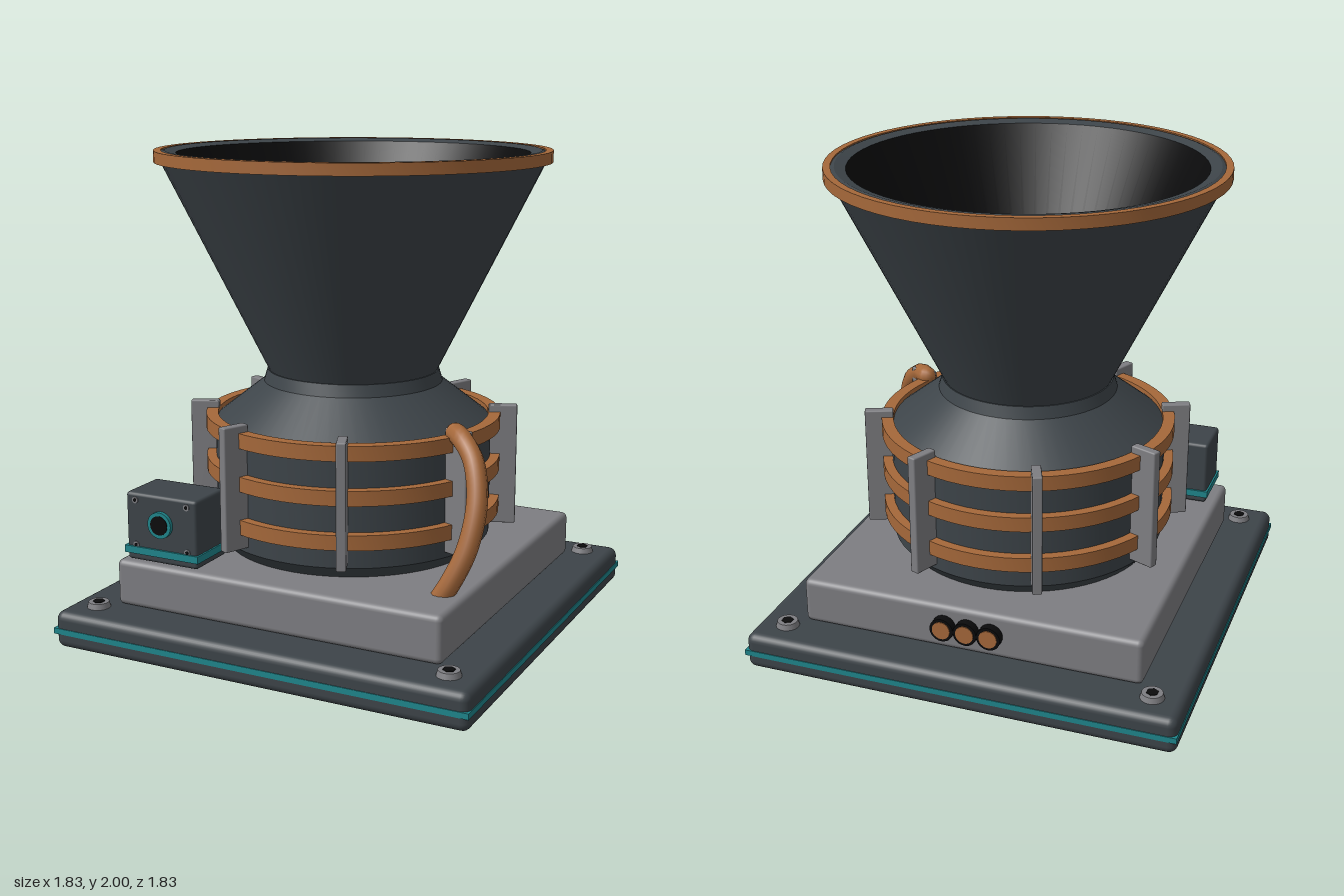
import * as THREE from 'three';
import { toCreasedNormals } from 'three/addons/utils/BufferGeometryUtils.js';
import { RoundedBoxGeometry } from 'three/addons/geometries/RoundedBoxGeometry.js';

export function createModel() {
  const model = new THREE.Group();
  model.name = 'hornOnPedestal';

  const material = (name, color) => {
    const m = new THREE.MeshStandardMaterial({ color });
    m.name = name;
    return m;
  };
  const dark = material('dark slate', 0x3d4449);
  const gray = material('steel gray', 0x7e7e82);
  const copper = material('copper', 0xa5683a);
  const teal = material('teal', 0x1f868c);
  const black = material('black', 0x0b0b0c);

  const add = (name, geometry, mat, x = 0, y = 0, z = 0, parent = model) => {
    const mesh = new THREE.Mesh(geometry, mat);
    mesh.name = name;
    mesh.position.set(x, y, z);
    parent.add(mesh);
    return mesh;
  };
  const lathe = (profile, segments = 64) => toCreasedNormals(
    new THREE.LatheGeometry(profile.map(([r, y]) => new THREE.Vector2(r, y)), segments), 0.3);
  const ring = (inner, outer, y0, y1) => lathe(
    [[inner, y0], [outer, y0], [outer, y1], [inner, y1], [inner, y0]]);
  const group = (name, x = 0, y = 0, z = 0) => {
    const g = new THREE.Group();
    g.name = name;
    g.position.set(x, y, z);
    model.add(g);
    return g;
  };

  // Base slab with its trim, and the plinth on top
  add('baseSlab', new RoundedBoxGeometry(1.82, 0.155, 1.82, 3, 0.035), dark, 0, 0.0775, 0);
  add('baseTrim', new THREE.BoxGeometry(1.826, 0.024, 1.826), teal, 0, 0.073, 0);
  add('plinth', new RoundedBoxGeometry(1.45, 0.195, 1.45, 3, 0.025), gray, 0, 0.2525, 0);

  // Corner bolts with hexagonal sockets
  for (const sx of [-1, 1]) for (const sz of [-1, 1]) {
    const bolt = group('cornerBolt', sx * 0.78, 0.15, sz * 0.78);
    add('boltHead', new THREE.CylinderGeometry(0.042, 0.05, 0.028, 24), gray, 0, 0.014, 0, bolt);
    add('boltSocket', new THREE.CylinderGeometry(0.025, 0.025, 0.004, 6), black, 0, 0.0285, 0, bolt);
  }

  // Drum with chamfered foot, sloped shoulder and neck
  add('drum', lathe([[0.53, 0.34], [0.58, 0.40], [0.58, 0.88], [0.375, 1.04],
    [0.36, 1.09], [0, 1.09]]), dark);

  // Coil bands
  for (const y of [0.517, 0.697, 0.876]) add('coilBand', ring(0.57, 0.62, y - 0.031, y + 0.031), copper);

  // Eight upright fins
  for (let i = 0; i < 8; i++) {
    const a = (i + 0.5) * Math.PI / 4;
    const fin = add('fin', new RoundedBoxGeometry(0.04, 0.515, 0.12, 1, 0.006), gray,
      Math.sin(a) * 0.63, 0.68, Math.cos(a) * 0.63);
    fin.rotation.y = a;
  }

  // Horn: outer wall and lip, black lining, copper rim
  add('hornWall', lathe([[0.355, 1.09], [0.785, 1.955], [0.785, 1.99], [0.765, 1.997], [0.72, 1.985]]), dark);
  add('hornLining', lathe([[0.72, 1.985], [0.28, 1.09]]), black);
  add('hornRim', ring(0.78, 0.81, 1.95, 1.997), copper);

  // Cable from the top of a fin down to the plinth
  const path = new THREE.CatmullRomCurve3([
    [0.56, 0.915, 0.22], [0.61, 0.905, 0.27], [0.68, 0.84, 0.325], [0.723, 0.7, 0.39],
    [0.71, 0.53, 0.45], [0.66, 0.4, 0.485], [0.62, 0.33, 0.495],
  ].map((p) => new THREE.Vector3(...p)));
  add('cable', new THREE.TubeGeometry(path, 32, 0.042, 10), copper);
  add('cableEnd', new THREE.SphereGeometry(0.042, 10, 8), copper, 0.56, 0.915, 0.22);

  // Sensor box with teal seam, lens and corner screws
  const sensor = group('sensorBox', -0.51, 0.5, 0.6);
  add('sensorHousing', new RoundedBoxGeometry(0.335, 0.285, 0.22, 2, 0.014), dark, 0, 0, 0, sensor);
  add('sensorSeam', new THREE.BoxGeometry(0.35, 0.03, 0.238), teal, 0, -0.098, 0, sensor);
  const disc = (name, r, depth, mat, x, y, z, parent, sides = 24) => {
    const mesh = add(name, new THREE.CylinderGeometry(r, r, depth, sides), mat, x, y, z, parent);
    mesh.rotation.x = Math.PI / 2;
  };
  disc('lensRing', 0.055, 0.02, teal, 0, 0.025, 0.117, sensor);
  disc('lens', 0.04, 0.004, black, 0, 0.025, 0.1275, sensor);
  for (const x of [-0.122, 0.122]) for (const y of [-0.076, 0.113]) {
    disc('sensorScrew', 0.014, 0.006, gray, x, y, 0.111, sensor, 12);
    disc('sensorScrewSocket', 0.008, 0.002, black, x, y, 0.1145, sensor, 6);
  }

  // Three connectors on the rear of the plinth
  for (const x of [-0.1, 0, 0.1]) {
    const connector = group('rearConnector', x, 0.257, -0.74);
    disc('connectorSleeve', 0.05, 0.04, black, 0, 0, 0, connector);
    disc('connectorContact', 0.038, 0.006, copper, 0, 0, -0.021, connector);
  }

  return model;
}
